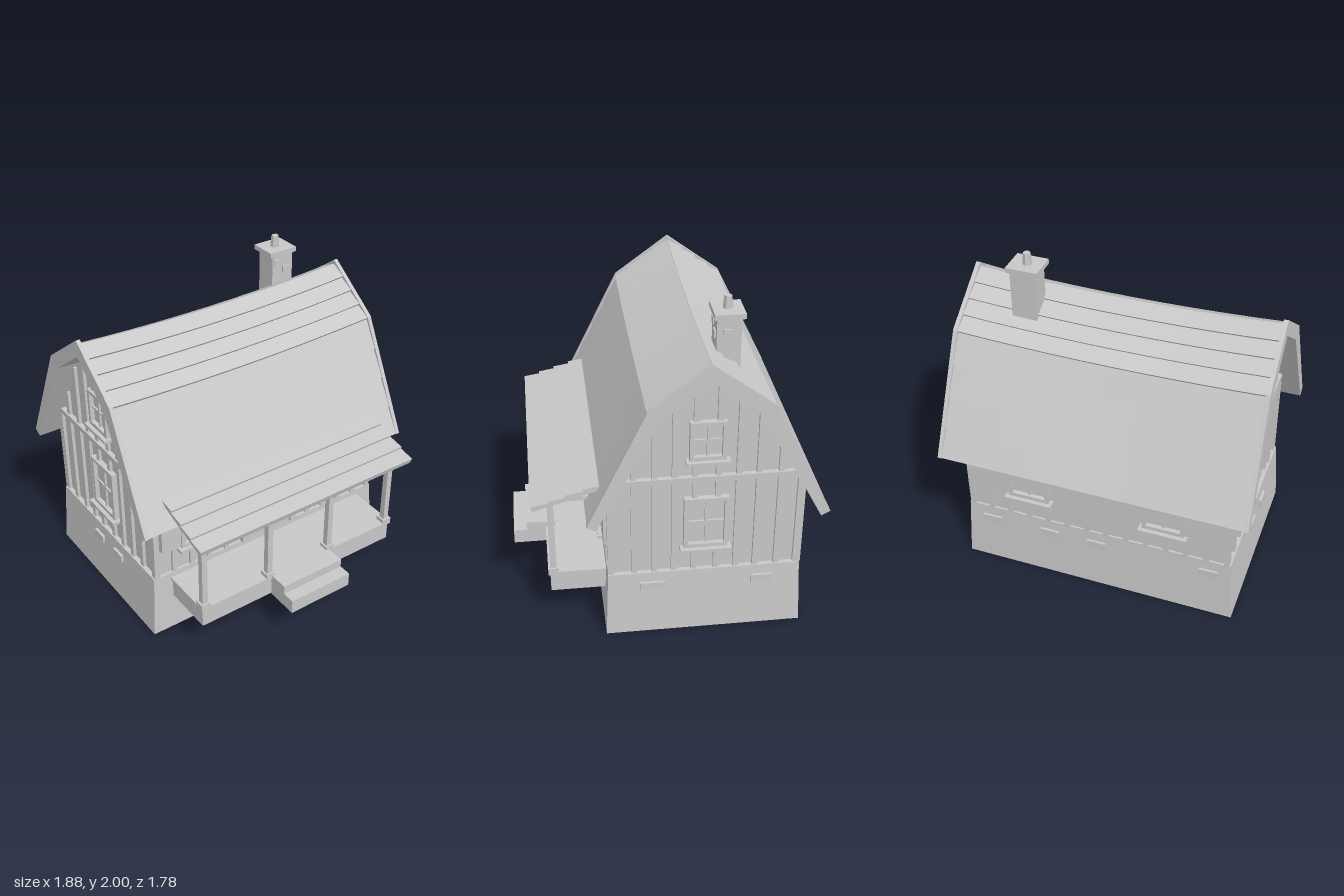
import * as THREE from 'three';

const grey = new THREE.MeshStandardMaterial({ color: 0xc8c8c8, side: THREE.DoubleSide });
grey.name = 'plain grey';

const MID = -0.21; // z of the ridge
const flip = ([z, y]) => [2 * MID - z, y];

function add(parent, name, geo) {
  const flat = geo.index ? geo.toNonIndexed() : geo;
  flat.computeVertexNormals();
  const mesh = new THREE.Mesh(flat, grey);
  mesh.name = name;
  parent.add(mesh);
  return mesh;
}

// Box given by its limits
function box(parent, name, x0, x1, y0, y1, z0, z1) {
  const g = new THREE.BoxGeometry(x1 - x0, y1 - y0, z1 - z0);
  g.translate((x0 + x1) / 2, (y0 + y1) / 2, (z0 + z1) / 2);
  return add(parent, name, g);
}

// Prism along x from a [z, y] outline; sagging ones dip towards the middle
function prism(parent, name, pts, x0, x1, sag = false) {
  const shape = new THREE.Shape(pts.map(([z, y]) => new THREE.Vector2(-z, y)));
  const g = new THREE.ExtrudeGeometry(shape, { depth: x1 - x0, steps: sag ? 10 : 1, bevelEnabled: false });
  g.rotateY(Math.PI / 2).translate(x0, 0, 0);
  if (sag) {
    const p = g.attributes.position;
    for (let i = 0; i < p.count; i++) {
      const h = THREE.MathUtils.clamp((p.getY(i) - 0.84) / 0.95, 0, 1);
      const x = p.getX(i);
      p.setXYZ(i, x * (1 + 0.016 * (1 - h)), p.getY(i) - 0.034 * h * (1 - Math.min(1, (x / 0.9) ** 2)), p.getZ(i));
    }
  }
  return add(parent, name, g);
}

// Overlapping planks down a slope from a to b
function planks(parent, name, a, b, count, lift, x, sag) {
  const dz = b[0] - a[0], dy = b[1] - a[1], len = Math.hypot(dz, dy);
  const s = Math.sign(dz), n = [(-dy / len) * s, (dz / len) * s];
  const at = (t, o) => [a[0] + dz * t + n[0] * o, a[1] + dy * t + n[1] * o];
  for (let i = 0; i < count; i++) {
    const t0 = i / count, t1 = (i + 1) / count;
    prism(parent, name, [at(t0, -0.008), at(t1, -0.008), at(t1, lift), at(t0, 0.003)], -x, x, sag);
  }
}

// Framed window facing +z, centred on x = 0, with cross bars and a sill
function makeWindow(w, y0, y1) {
  const g = new THREE.Group();
  g.name = 'window';
  const h = w / 2, f = 0.024, m = (y0 + y1) / 2;
  for (const s of [-1, 1]) box(g, 'windowFrameSide', s * (h - f / 2) - f / 2, s * (h - f / 2) + f / 2, y0, y1, 0, 0.035);
  box(g, 'windowFrameTop', -h + f, h - f, y1 - f, y1, 0, 0.035);
  box(g, 'windowFrameBottom', -h + f, h - f, y0, y0 + f, 0, 0.035);
  box(g, 'windowPane', -h + f, h - f, y0 + f, y1 - f, 0, 0.008);
  box(g, 'windowBarUpright', -0.007, 0.007, y0 + f, y1 - f, 0, 0.02);
  box(g, 'windowBarAcross', -h + f, h - f, m - 0.007, m + 0.007, 0, 0.02);
  box(g, 'windowSill', -h - 0.02, h + 0.02, y0 - 0.02, y0, 0, 0.06);
  return g;
}

function place(parent, obj, x, z, turn) {
  obj.position.set(x, 0, z);
  obj.rotation.y = turn;
  parent.add(obj);
}

export function createModel() {
  const house = new THREE.Group();
  house.name = 'house';

  // Stone base: tapered, open underneath, with a floor near its top
  const base = new THREE.CylinderGeometry(Math.SQRT2 * 0.97, Math.SQRT2, 0.41, 4, 1, true);
  base.rotateY(Math.PI / 4).scale(0.855, 1, 0.5775).translate(0, 0.205, -0.2075);
  add(house, 'foundation', base);
  box(house, 'floor', -0.829, 0.829, 0.365, 0.41, -0.767, 0.352);
  for (const [z, w] of [[0.093, 0.145], [-0.54, 0.12]]) box(house, 'baseStone', 0.82, 0.85, 0.295, 0.35, z - w / 2, z + w / 2);
  for (const z of [-0.29, -0.06]) box(house, 'baseStone', -0.85, -0.82, 0.295, 0.345, z - 0.05, z + 0.05);
  for (const x of [0.68, 0.3, 0, -0.7]) box(house, 'baseStone', x - 0.06, x + 0.06, 0.295, 0.345, -0.785, -0.75);

  // Walls with both gables
  const wall = [[0.335, 0.41], [0.335, 0.95], [0.06, 1.475], [MID, 1.685]];
  prism(house, 'walls', [...wall, ...wall.slice(0, 3).reverse().map(flip)], -0.8, 0.8);

  // Height of the underside of the roof above a given z
  const under = (z) => {
    const d = Math.abs(z - MID);
    return d < 0.275 ? 1.685 - d * 0.745 : 1.48 - (d - 0.275) * 1.87;
  };

  // Gable battens, belt and windows
  const battens = [0.33, 0.2, 0.085, -0.03, -0.145, -0.275, -0.39, -0.505, -0.63, -0.745];
  for (const s of [-1, 1]) {
    const strip = (z, y0, y1) => box(house, 'gableBatten', s > 0 ? 0.79 : -0.82, s > 0 ? 0.82 : -0.79, y0, y1, z - 0.016, z + 0.016);
    for (const z of battens) {
      const behind = z < -0.1 && z > -0.3;
      if (behind) {
        strip(z, 0.41, 0.56);
        strip(z, 0.9, 1.02);
        strip(z, 1.04, 1.15);
        strip(z, 1.39, under(z));
      } else {
        strip(z, 0.41, Math.min(1.02, under(z)));
        if (under(z) > 1.1) strip(z, 1.04, under(z));
      }
    }
    box(house, 'gableBelt', s > 0 ? 0.79 : -0.83, s > 0 ? 0.83 : -0.79, 1.015, 1.05, -0.73, 0.31);
    place(house, makeWindow(0.255, 0.573, 0.907), s * 0.8, MID, s * Math.PI / 2);
    place(house, makeWindow(0.205, 1.16, 1.4), s * 0.8, MID, s * Math.PI / 2);
  }

  // Front and back battens and windows
  for (let i = 0; i <= 13; i++) {
    const x = -0.805 + i * (1.61 / 13);
    const ax = Math.abs(x);
    const bottom = (name, win, z0, z1) => box(house, name, x - 0.016, x + 0.016, 0.41, win ? 0.56 : 0.95, z0, z1);
    if (ax > 0.2) bottom('frontBatten', Math.abs(ax - 0.515) < 0.14, 0.325, 0.352);
    bottom('backBatten', Math.abs(ax - 0.42) < 0.13, -0.775, -0.75);
  }
  for (const s of [-1, 1]) {
    place(house, makeWindow(0.25, 0.573, 0.907), s * 0.515, 0.335, 0);
    place(house, makeWindow(0.255, 0.573, 0.907), s * 0.42, -0.755, Math.PI);
    for (const x of [0.365, 0.71]) box(house, 'shutter', s * x - 0.065, s * x + 0.065, 0.595, 0.9, 0.335, 0.37);
  }

  // Door
  box(house, 'door', -0.165, 0.165, 0.41, 0.86, 0.33, 0.352);
  for (const s of [-1, 1]) box(house, 'doorFrameSide', s * 0.183 - 0.02, s * 0.183 + 0.02, 0.41, 0.9, 0.33, 0.368);
  box(house, 'doorFrameTop', -0.163, 0.163, 0.86, 0.9, 0.33, 0.368);
  box(house, 'doorKnob', 0.072, 0.094, 0.585, 0.607, 0.35, 0.375);

  // Gambrel roof: sagging core, stepped planks, boards at both ends
  const ring = (outer, inner) => [
    ...outer, ...outer.slice(1).map(flip).length ? [...inner].reverse() : [],
  ];
  const halfRing = (peakOut, kinkOut, eaveOut) =>
    ring([[MID, peakOut], kinkOut, eaveOut], [[MID, 1.687], [0.065, 1.48], [0.42, 0.813]]);
  const core = halfRing(1.756, [0.122, 1.51], [0.455, 0.832]);
  const board = halfRing(1.79, [0.135, 1.535], [0.472, 0.84]);
  for (const f of [(p) => p, flip]) {
    prism(house, 'roofCore', core.map(f), -0.9, 0.9, true);
    for (const s of [-1, 1]) prism(house, 'bargeBoard', board.map(f), s > 0 ? 0.898 : -0.923, s > 0 ? 0.923 : -0.898, true);
    planks(house, 'upperRoofPlank', f([MID, 1.76]), f([0.124, 1.513]), 4, 0.02, 0.9, true);
    planks(house, 'lowerRoofPlank', f([0.124, 1.513]), f([0.457, 0.835]), 4, 0.014, 0.9, true);
  }

  // Chimney
  box(house, 'chimney', 0.465, 0.615, 1.5, 1.905, -0.41, -0.275);
  box(house, 'chimneyCap', 0.44, 0.63, 1.9, 1.93, -0.43, -0.26);
  add(house, 'flue', new THREE.CylinderGeometry(0.022, 0.028, 0.07, 6).translate(0.532, 1.965, -0.345));
  box(house, 'chimneyStone', 0.605, 0.625, 1.79, 1.84, -0.36, -0.31);
  box(house, 'chimneyStone', 0.54, 0.59, 1.78, 1.82, -0.285, -0.265);
  box(house, 'chimneyStone', 0.48, 0.525, 1.83, 1.87, -0.285, -0.268);

  // Porch deck and steps
  box(house, 'porchBase', -0.705, 0.705, 0.235, 0.355, 0.32, 0.68);
  box(house, 'porchDeck', -0.715, 0.715, 0.355, 0.375, 0.33, 0.692);
  box(house, 'upperStep', -0.215, 0.215, 0.325, 0.38, 0.6, 0.81);
  box(house, 'lowerStep', -0.215, 0.215, 0.235, 0.325, 0.685, 0.89);

  // Porch posts, braces and beams
  for (const x of [-0.685, -0.225, 0.225, 0.685]) {
    box(house, 'porchPost', x - 0.018, x + 0.018, 0.37, 0.86, 0.643, 0.68);
    box(house, 'postFoot', x - 0.03, x + 0.03, 0.37, 0.4, 0.63, 0.692);
    box(house, 'porchTieBeam', x - 0.016, x + 0.016, 0.862, 0.887, 0.335, 0.68);
    for (const s of [-1, 1]) {
      if (Math.abs(x + s * 0.1) > 0.72) continue;
      const brace = add(house, 'postBrace', new THREE.BoxGeometry(0.018, 0.115, 0.024));
      brace.position.set(x + s * 0.045, 0.81, 0.66);
      brace.rotation.z = -s * Math.PI / 4;
    }
  }
  box(house, 'porchHeader', -0.72, 0.72, 0.84, 0.875, 0.645, 0.678);

  // Porch roof
  prism(house, 'porchRoofCore', [[0.38, 0.99], [0.765, 0.862], [0.76, 0.847], [0.38, 0.965]], -0.764, 0.764);
  planks(house, 'porchRoofPlank', [0.375, 0.992], [0.768, 0.866], 4, 0.018, 0.767, false);

  return house;
}
